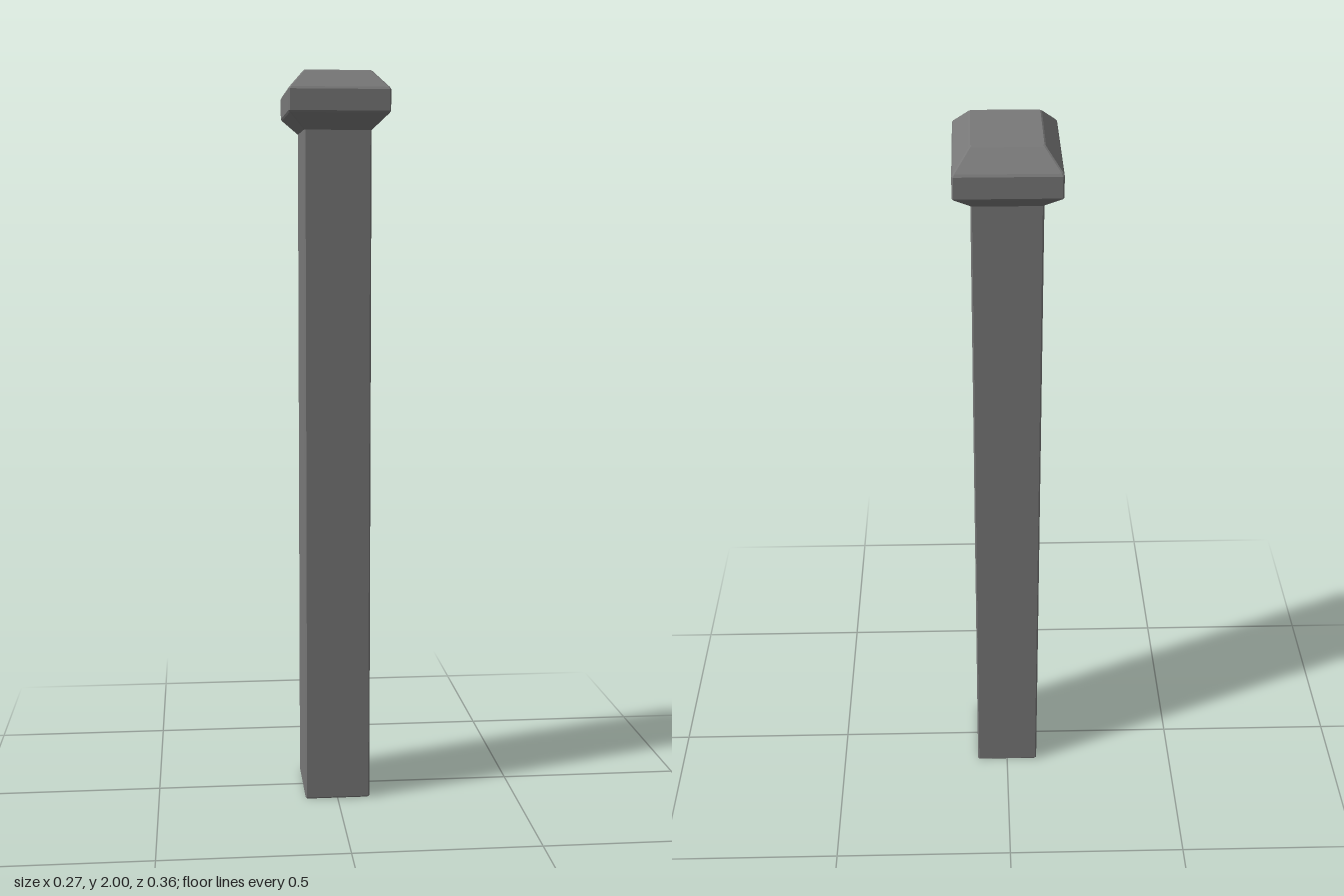
import * as THREE from 'three';

const material = new THREE.MeshStandardMaterial({ color: 0x787878, flatShading: true });
const BEVEL = 0.004;

// Loft of rectangles with bevelled corners: rings of [y, half width, half depth], bottom to top.
function rectLoft(name, rings) {
  const last = rings.length - 1;
  const geometry = new THREE.CylinderGeometry(1, 1, last, 8, last, false, Math.PI / 8);
  const pos = geometry.attributes.position;
  for (let i = 0; i < pos.count; i++) {
    const x = pos.getX(i), z = pos.getZ(i);
    const [y, hx, hz] = rings[Math.round(pos.getY(i) + last / 2)];
    const onSide = Math.abs(x) > Math.abs(z);
    pos.setXYZ(i,
      Math.sign(x) * (onSide ? hx : hx - BEVEL),
      y,
      Math.sign(z) * (onSide ? hz - BEVEL : hz));
  }
  geometry.computeVertexNormals();
  const mesh = new THREE.Mesh(geometry, material);
  mesh.name = name;
  return mesh;
}

export function createModel() {
  const group = new THREE.Group();
  group.name = 'post';

  // Rectangular shaft with a softened foot
  group.add(rectLoft('shaft', [
    [0, 0.087, 0.117],
    [0.004, 0.09, 0.12],
    [1.845, 0.09, 0.12],
  ]));

  // Cap: flared underside, upright band, sloping top, each edge softened
  group.add(rectLoft('cap', [
    [1.845, 0.09, 0.12],
    [1.886, 0.131, 0.178],
    [1.891, 0.134, 0.182],
    [1.946, 0.134, 0.182],
    [1.952, 0.131, 0.178],
    [1.997, 0.092, 0.123],
    [2, 0.088, 0.118],
  ]));

  return group;
}
